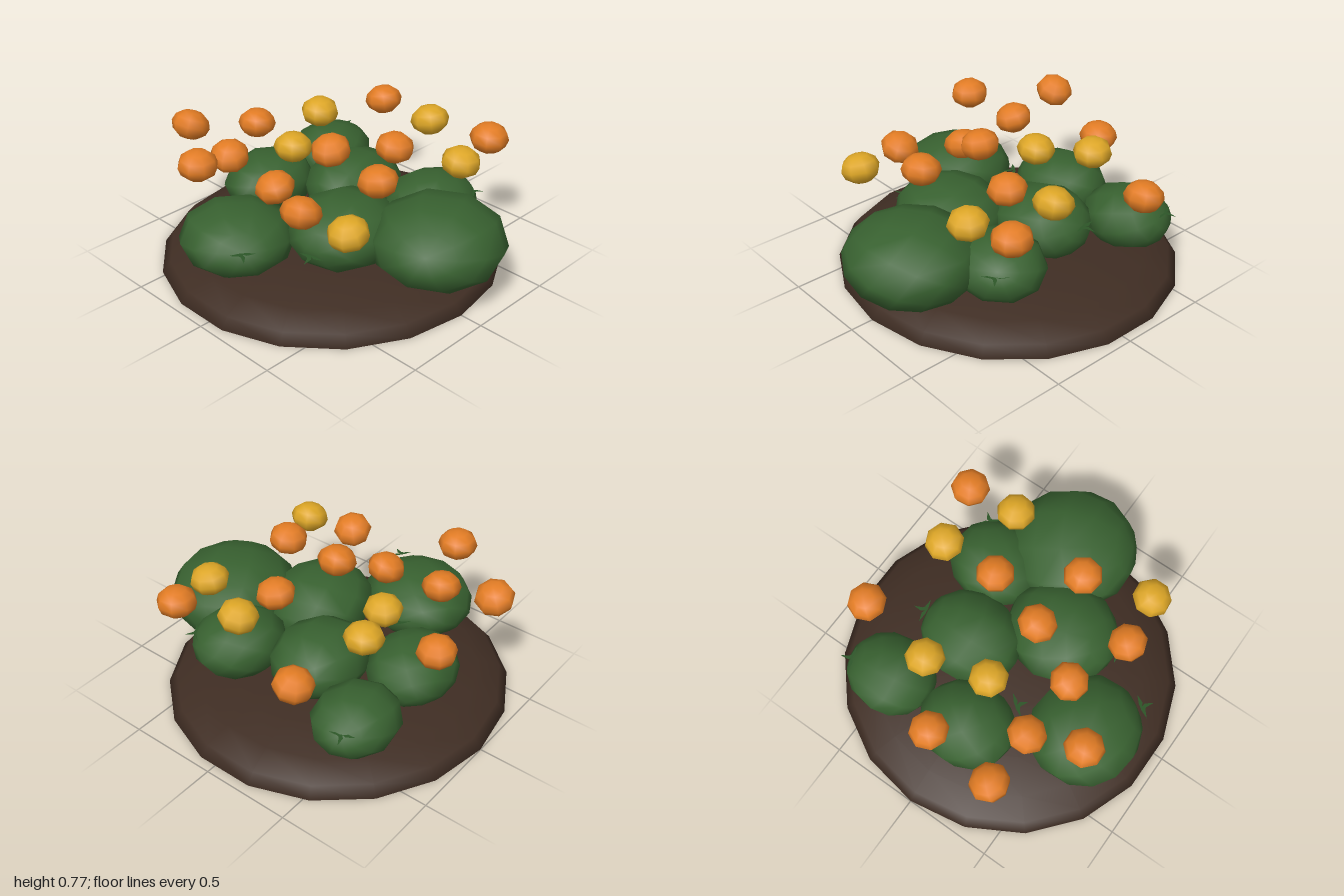
import * as THREE from 'three';

const material = (name, color, extra = {}) => {
  const m = new THREE.MeshStandardMaterial({ color, ...extra });
  m.name = name;
  return m;
};

export function createModel() {
  const soil = material('dark soil', 0x3f2d23);
  const green = material('fruit green', 0x386130);
  const leaf = material('sprig green', 0x2c5527, { side: THREE.DoubleSide });
  const orange = material('orange', 0xe27c24);
  const yellow = material('golden yellow', 0xdda626);

  const model = new THREE.Group();
  const add = (name, geometry, mat, parent = model) => {
    const mesh = new THREE.Mesh(geometry, mat);
    mesh.name = name;
    parent.add(mesh);
    return mesh;
  };

  // Low dome of soil with a flat underside
  const dome = new THREE.SphereGeometry(1, 18, 5, 0, Math.PI * 2, 0, Math.PI / 2);
  const mound = add('soilMound', dome, soil);
  mound.scale.set(0.937, 0.18, 0.96);
  mound.position.x = -0.063;
  const base = add('soilBase', new THREE.CircleGeometry(1, 18), soil);
  base.rotation.x = Math.PI / 2;
  base.scale.set(0.937, 0.96, 1);
  base.position.x = -0.063;

  // Flat three-bladed sprig, pointing along +z
  const blades = new THREE.Shape();
  [Math.PI / 2, Math.PI, 0].forEach((a) => {
    const c = Math.cos(a), s = Math.sin(a), w = 0.011;
    blades.lineTo(c * 0.02 + s * w, s * 0.02 - c * w);
    blades.lineTo(c * 0.07, s * 0.07);
    blades.lineTo(c * 0.02 - s * w, s * 0.02 + c * w);
  });
  const sprigGeometry = new THREE.ShapeGeometry(blades).rotateX(Math.PI / 2);

  // Squashed low-poly fruit: centre x y z, radii x y z, sprig x y z
  const fruits = [
    [-0.53, 0.28, -0.455, 0.225, 0.16, 0.25, -0.6, 0.36, -0.66],
    [-0.11, 0.31, -0.22, 0.255, 0.18, 0.285, -0.155, 0.38, -0.5],
    [0.33, 0.3, -0.37, 0.24, 0.17, 0.265, 0.49, 0.37, -0.53],
    [0.645, 0.325, -0.065, 0.355, 0.225, 0.36],
    [-0.52, 0.28, 0.05, 0.235, 0.165, 0.27, -0.3, 0.36, 0.22],
    [0.205, 0.31, 0.17, 0.29, 0.19, 0.315, 0.28, 0.31, 0.49],
    [-0.18, 0.28, 0.585, 0.31, 0.18, 0.3, 0.08, 0.36, 0.77],
  ];
  fruits.forEach(([x, y, z, rx, ry, rz, sx, sy, sz], i) => {
    const g = new THREE.SphereGeometry(1.02, 10, 7);
    const yaw = sx === undefined ? 0.5 : Math.atan2(sx - x, sz - z);
    g.rotateX(1.1 + 0.1 * Math.sin(i * 2.3)).rotateY(yaw);
    const fruit = add('greenFruit', g, green);
    fruit.scale.set(rx, ry, rz);
    fruit.position.set(x, y, z);
    if (sx === undefined) return;
    const sprig = add('sprig', sprigGeometry, leaf);
    sprig.position.set(sx, sy, sz);
    sprig.rotation.set(0.12, yaw, 0, 'YXZ');
  });

  // Small floating blooms
  const bloom = new THREE.SphereGeometry(1, 8, 6);
  const scatter = (name, mat, spots) => spots.forEach(([x, y, z], i) => {
    const b = add(name, bloom, mat);
    b.position.set(x, y, z);
    b.scale.set(0.108, 0.083, 0.108);
    b.rotation.set(0.2 * Math.sin(i * 1.9), i * 1.3, 0.2 * Math.cos(i * 2.7));
  });
  scatter('orangeBloom', orange, [
    [-0.35, 0.585, -0.72], [0.49, 0.65, -0.65], [0.165, 0.62, -0.25],
    [-0.715, 0.54, -0.04], [0.04, 0.69, 0.11], [0.41, 0.66, 0.145],
    [-0.775, 0.655, 0.39], [-0.45, 0.58, 0.39], [-0.08, 0.535, 0.4],
    [0.26, 0.58, 0.535], [-0.36, 0.665, 0.675],
  ]);
  scatter('yellowBloom', yellow, [
    [0.14, 0.67, -0.565], [-0.43, 0.63, -0.27], [0.525, 0.62, -0.37],
    [-0.315, 0.56, 0.05], [0.55, 0.57, 0.5],
  ]);
  return model;
}
